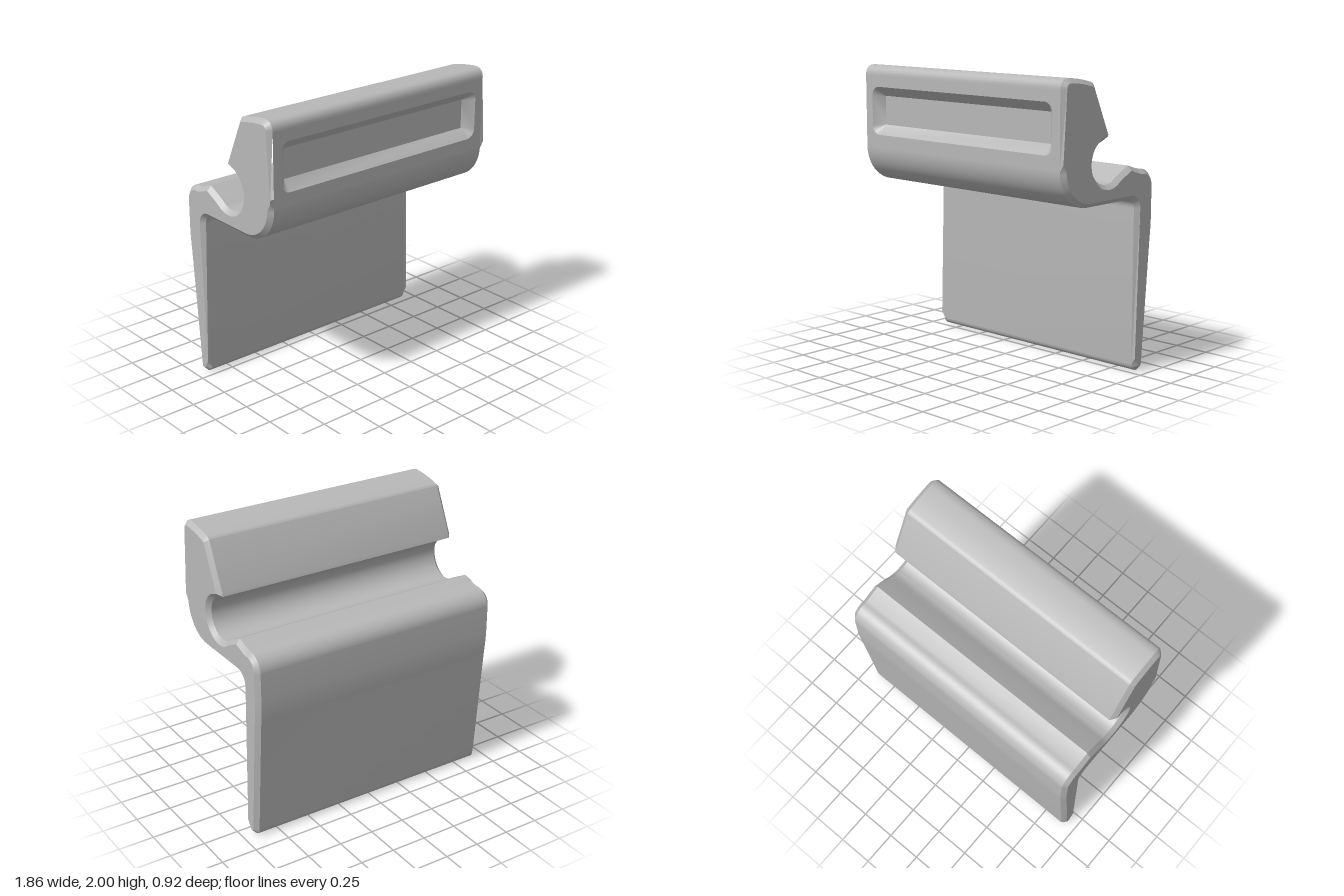
import * as THREE from 'three';
import { mergeGeometries, toCreasedNormals } from 'three/addons/utils/BufferGeometryUtils.js';

const HALF = 0.93, BEVEL = 0.03, FRONT = 0.46;
const FACE_LOW = 1.43, FACE_HIGH = 1.93;

// Side profile: first axis runs towards the back (-z), second axis is up
function profile() {
  const s = new THREE.Shape();
  s.curves.length = 0;
  s.moveTo(-FRONT, FACE_LOW);
  s.absarc(-0.2, 1.435, 0.26, Math.PI, Math.PI * 1.5, false);      // rounded underside
  s.lineTo(0.215, 1.175);
  s.absarc(0.215, 1.11, 0.065, Math.PI / 2, 0, true);              // fillet above the plate
  s.lineTo(0.28, 0.047);
  s.absarc(0.328, 0.048, 0.048, Math.PI, Math.PI * 2 - 0.08, false); // plate toe
  s.lineTo(0.443, 0.88);
  s.quadraticCurveTo(0.455, 0.98, 0.455, 1.06);
  s.lineTo(0.455, 1.25);
  s.absarc(0.34, 1.25, 0.115, 0, Math.PI / 2, false);              // shoulder
  s.lineTo(0.315, 1.366);
  s.lineTo(0.206, 1.402);
  s.lineTo(0.09, 1.343);
  s.absarc(-0.018, 1.445, 0.145, -1.08, -Math.PI * 1.42, true);    // round groove
  s.lineTo(0.003, 1.61);
  s.lineTo(-0.004, 1.635);                                         // lip
  s.lineTo(-0.145, 1.94);
  s.quadraticCurveTo(-0.152, 1.958, -0.175, 1.965);
  s.quadraticCurveTo(-0.28, 1.993, -0.385, 2.0);
  s.quadraticCurveTo(-FRONT, 2.0, -FRONT, FACE_HIGH);
  s.lineTo(-FRONT, FACE_LOW);
  return s;
}

// Removes the triangles on the front plane, where the recessed panel goes
function openFront(geometry) {
  const src = geometry.index ? geometry.toNonIndexed() : geometry;
  const p = src.attributes.position, kept = [];
  for (let i = 0; i < p.count; i += 3) {
    const onFace = [0, 1, 2].every((k) => Math.abs(p.getZ(i + k) - FRONT) < 1e-4);
    if (onFace) continue;
    for (let k = 0; k < 3; k++) kept.push(p.getX(i + k), p.getY(i + k), p.getZ(i + k));
  }
  const out = new THREE.BufferGeometry();
  out.setAttribute('position', new THREE.Float32BufferAttribute(kept, 3));
  return out;
}

// Counter-clockwise outline of a rounded rectangle
function roundedRect(w, y0, y1, r, steps = 8) {
  const pts = [];
  const corners = [[w - r, y1 - r], [-w + r, y1 - r], [-w + r, y0 + r], [w - r, y0 + r]];
  corners.forEach(([cx, cy], c) => {
    for (let i = 0; i <= steps; i++) {
      const a = (c + i / steps) * Math.PI / 2;
      pts.push(new THREE.Vector2(cx + r * Math.cos(a), cy + r * Math.sin(a)));
    }
  });
  return pts;
}

// Sloping wall between two outlines with equal point counts
function wall(outer, zo, inner, zi) {
  const v = [];
  const put = (p, z) => v.push(p.x, p.y, z);
  outer.forEach((a, i) => {
    const j = (i + 1) % outer.length;
    put(a, zo); put(outer[j], zo); put(inner[j], zi);
    put(a, zo); put(inner[j], zi); put(inner[i], zi);
  });
  const g = new THREE.BufferGeometry();
  g.setAttribute('position', new THREE.Float32BufferAttribute(v, 3));
  return toCreasedNormals(g, 0.45);
}

export function createModel() {
  const group = new THREE.Group();
  const grey = new THREE.MeshStandardMaterial({ color: 0xb8b8b8 });
  grey.name = 'grey plastic';
  const add = (name, geometry) => {
    const m = new THREE.Mesh(geometry, grey);
    m.name = name;
    group.add(m);
  };

  // Extruded body with chamfered ends
  const body = new THREE.ExtrudeGeometry(profile(), {
    depth: 2 * (HALF - BEVEL), curveSegments: 16, bevelEnabled: true,
    bevelThickness: BEVEL, bevelSize: BEVEL, bevelOffset: -BEVEL, bevelSegments: 1,
  });
  body.translate(0, 0, -(HALF - BEVEL)).rotateY(Math.PI / 2);
  add('clipBody', toCreasedNormals(openFront(body), 0.45));

  // Front panel with a bevelled rectangular recess
  const outer = roundedRect(0.836, 1.52, 1.853, 0.065);
  const inner = roundedRect(0.77, 1.586, 1.787, 0.001);
  const w = HALF - BEVEL, depth = 0.066;
  const panel = new THREE.Shape([
    new THREE.Vector2(-w, FACE_LOW), new THREE.Vector2(w, FACE_LOW),
    new THREE.Vector2(w, FACE_HIGH), new THREE.Vector2(-w, FACE_HIGH),
  ]);
  panel.holes.push(new THREE.Path(outer));
  add('frontPanel', new THREE.ShapeGeometry(panel).translate(0, 0, FRONT));

  const floor = new THREE.ShapeGeometry(new THREE.Shape(inner)).translate(0, 0, FRONT - depth);
  floor.deleteAttribute('uv');
  add('labelRecess', mergeGeometries([
    wall(outer, FRONT, inner, FRONT - depth), floor.toNonIndexed(),
  ]));
  return group;
}
